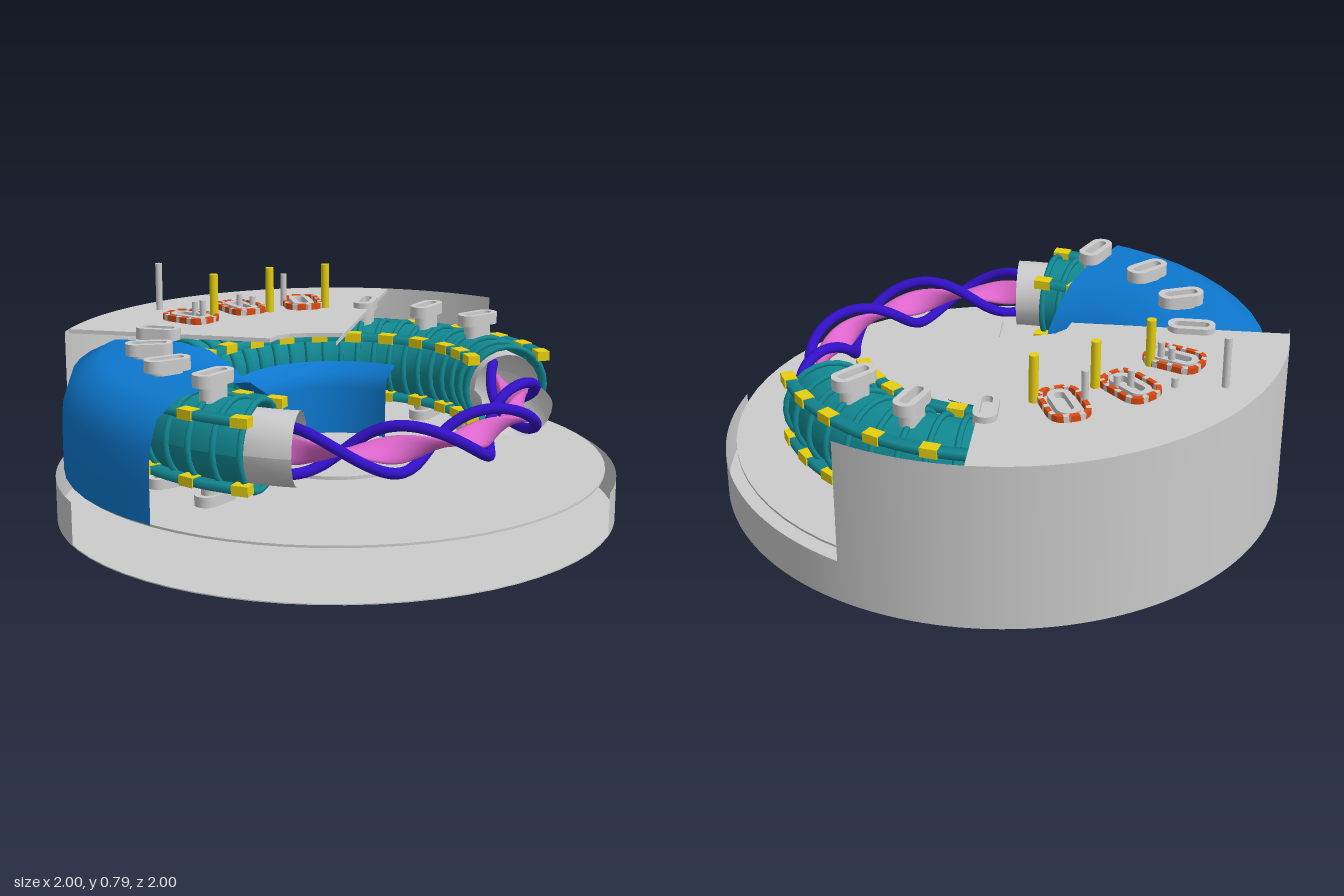
import * as THREE from 'three';
import { ParametricGeometry } from 'three/addons/geometries/ParametricGeometry.js';

const rad = THREE.MathUtils.degToRad;
const mat = (color) => new THREE.MeshStandardMaterial({ color, side: THREE.DoubleSide });
const R = 0.645, MID = 0.395; // ring radius and height of the vessel axis

export function createModel() {
  const model = new THREE.Group();
  const grey = mat(0xcccccc), blue = mat(0x0d78cf), teal = mat(0x128a94), yellow = mat(0xe6cf10);
  const violet = mat(0x3310c8), pink = mat(0xdd66cc), orange = mat(0xdd4a10);

  const add = (name, geo, material, parent = model) => {
    const mesh = new THREE.Mesh(geo, material);
    mesh.name = name;
    parent.add(mesh);
    return mesh;
  };
  // angles are in degrees about y, from +z towards +x; local x then points outwards
  const place = (obj, angle, r, y) => {
    obj.position.set(r * Math.sin(rad(angle)), y, r * Math.cos(rad(angle)));
    obj.rotation.y = rad(angle - 90);
    return obj;
  };
  const sweep = (name, pts, from, to, material, step = 4) => add(name, new THREE.LatheGeometry(
    pts.map(([x, y]) => new THREE.Vector2(x, y)), Math.ceil((to - from) / step), rad(from), rad(to - from)), material);
  const ringProfile = (r, from = 0, to = 360, n = 20) => Array.from({ length: n + 1 }, (_, i) => {
    const a = rad(from + (to - from) * i / n);
    return [R + r * Math.cos(a), MID + r * Math.sin(a)];
  });
  const wall = (name, from, to, h) => {
    add(name, new THREE.CylinderGeometry(1, 1, h, 48, 1, true, rad(from), rad(to - from)), grey).position.y = h / 2;
  };
  const disc = (name, r, y, h) => {
    add(name, new THREE.CylinderGeometry(r, r, h, 64), grey).position.y = y + h / 2;
  };

  // base and outer housing
  disc('baseFloor', 1, 0, 0.004);
  disc('platform', 0.96, 0.172, 0.008);
  disc('centreDisc', 0.28, 0.18, 0.012);
  disc('centreHub', 0.07, 0.192, 0.002);
  wall('lowWallFront', 17, 90, 0.155);
  wall('lowWallBack', 208, 244.6, 0.155);
  wall('tallWall', 90, 208, 0.605);

  // cover plate over the rear sector
  const cover = new THREE.Shape();
  for (let i = 0; i <= 24; i++) {
    const a = rad(115.5 + 90 * i / 24);
    cover.lineTo(Math.sin(a), Math.cos(a));
  }
  [[-0.1, -0.22], [-0.05, -0.23], [0.0, -0.215], [0.05, -0.17], [0.13, -0.065]].forEach(([x, z]) => cover.lineTo(x, z));
  cover.setFromPoints(cover.getPoints().slice(1));
  const coverGeo = new THREE.ExtrudeGeometry(cover, { depth: 0.015, bevelEnabled: false });
  add('coverPlate', coverGeo.rotateX(Math.PI / 2), grey).position.y = 0.605;

  // blue outer vessel and its inner wall
  sweep('outerVessel', [[0.97, 0.18], [0.97, 0.32], [0.965, 0.42], [0.93, 0.52], [0.83, 0.57], [0.6, 0.575],
    [0.47, 0.55], [0.38, 0.49], [0.31, 0.42], [0.3, 0.36], [0.3, 0.185]], 204, 270, blue, 8);
  sweep('innerVesselWall', [[0.36, 0.45], [0.31, 0.41], [0.3, 0.36], [0.3, 0.185]], 90, 204, blue, 8);

  // teal vessel with inner tube and cut-away trough
  sweep('ringVessel', ringProfile(0.146), 53, 285, teal);
  sweep('innerTube', ringProfile(0.125), 52, 297, grey);
  sweep('tubeTrough', ringProfile(0.125, 180, 360, 12), 33, 52, grey);

  // hoops around the vessel
  for (let a = 53; a <= 285; a += 7.25) {
    place(add('vesselHoop', new THREE.TorusGeometry(0.152, 0.011, 6, 24), teal), a, R, MID);
  }

  // four rails with yellow clamps
  for (const r of [0.51, 0.78]) for (const y of [0.285, 0.51]) {
    const w = 0.018, h = 0.014;
    sweep('rail', [[r - w, y - h], [r + w, y - h], [r + w, y + h], [r - w, y + h], [r - w, y - h]], 53, 285, teal);
    for (const a of [53, 64, ...Array.from({ length: 15 }, (_, i) => 75 + 15 * i)]) {
      place(add('railClamp', new THREE.BoxGeometry(0.045, 0.034, 0.06), yellow), a, r, y);
    }
  }

  // twin helical windings around a twisted plasma ribbon
  const from = -80, span = 142;
  const phase = (a) => Math.PI * a / 32;
  const helixPoint = (a, p, s, t = 0) => {
    const c = Math.cos(p), n = Math.sin(p);
    const r = 0.655 + s * n + t * c;
    return [r * Math.sin(rad(a)), 0.39 + s * c - t * n, r * Math.cos(rad(a))];
  };
  for (const turn of [0, Math.PI]) {
    const pts = Array.from({ length: 72 }, (_, i) => {
      const a = from + span * i / 71;
      return new THREE.Vector3(...helixPoint(a, phase(a) + turn, 0.077));
    });
    add('helicalWinding', new THREE.TubeGeometry(new THREE.CatmullRomCurve3(pts), 160, 0.019, 10), violet);
  }
  add('plasmaRibbon', new ParametricGeometry((u, v, target) => {
    const a = from + span * u, q = v * Math.PI * 2;
    target.set(...helixPoint(a, phase(a), 0.047 * Math.cos(q), 0.014 * Math.sin(q)));
  }, 90, 12), pink);

  // slot-shaped port outlines
  const slot = (Type, l, w, r) => {
    const s = new Type(), x = l / 2, y = w / 2;
    s.moveTo(-x + r, -y).lineTo(x - r, -y);
    s.absarc(x - r, -y + r, r, -Math.PI / 2, 0).absarc(x - r, y - r, r, 0, Math.PI / 2);
    s.absarc(-x + r, y - r, r, Math.PI / 2, Math.PI).absarc(-x + r, -y + r, r, Math.PI, Math.PI * 1.5);
    return s;
  };
  const slotRing = (l, w, r, t, h) => {
    const s = slot(THREE.Shape, l, w, r);
    s.holes.push(slot(THREE.Path, l - 2 * t, w - 2 * t, r - t));
    return new THREE.ExtrudeGeometry(s, { depth: h, bevelEnabled: false, curveSegments: 6 }).rotateX(-Math.PI / 2);
  };

  // ports above and below the vessel
  for (let i = 0; i < 10; i++) {
    const a = 74 + 21.8 * i;
    const ringed = i >= 3 && i <= 5;
    const port = place(new THREE.Group(), a, 0.66, 0);
    port.name = 'port';
    model.add(port);
    add('portStemTop', slotRing(0.11, 0.06, 0.03, 0.014, 0.06), grey, port).position.y = 0.53;
    add('portFlangeTop', slotRing(0.165, 0.08, 0.038, 0.022, 0.042), grey, port).position.y = 0.585;
    add('portStemBottom', slotRing(0.11, 0.06, 0.03, 0.014, 0.06), grey, port).position.y = 0.2;
    add('portFlangeBottom', slotRing(0.165, 0.08, 0.038, 0.022, 0.036), grey, port).position.y = 0.182;
    if (!ringed) continue;
    // striped barrier around each port on the cover
    const path = slot(THREE.Path, 0.19, 0.13, 0.045).getSpacedPoints(32);
    for (let k = 0; k < 32; k++) {
      const p = path[k], q = path[(k + 1) % 32], d = q.clone().sub(p);
      const bar = add('barrierStripe', new THREE.BoxGeometry(d.length() + 0.004, 0.022, 0.017), k % 3 ? orange : grey, port);
      bar.position.set((p.x + q.x) / 2, 0.617, -(p.y + q.y) / 2);
      bar.rotation.y = Math.atan2(d.y, d.x);
    }
  }

  // posts standing on the cover
  const post = (name, x, z, r, top, material) => {
    add(name, new THREE.CylinderGeometry(r, r, top - 0.6, 12), material).position.set(x, (top + 0.6) / 2, z);
  };
  [[0.03, -0.6], [0.26, -0.52], [0.45, -0.4]].forEach(([x, z]) => post('yellowPost', x, z, 0.016, 0.775, yellow));
  post('tallPost', 0.03, -0.88, 0.013, 0.785, grey);
  [[0.12, -0.74, 0.64], [-0.01, -0.66, 0.67], [-0.01, -0.62, 0.68], [0.2, -0.62, 0.67],
    [0.24, -0.59, 0.66], [0.38, -0.55, 0.73]].forEach(([x, z, y]) => post('shortPost', x, z, 0.012, y, grey));

  return model;
}
